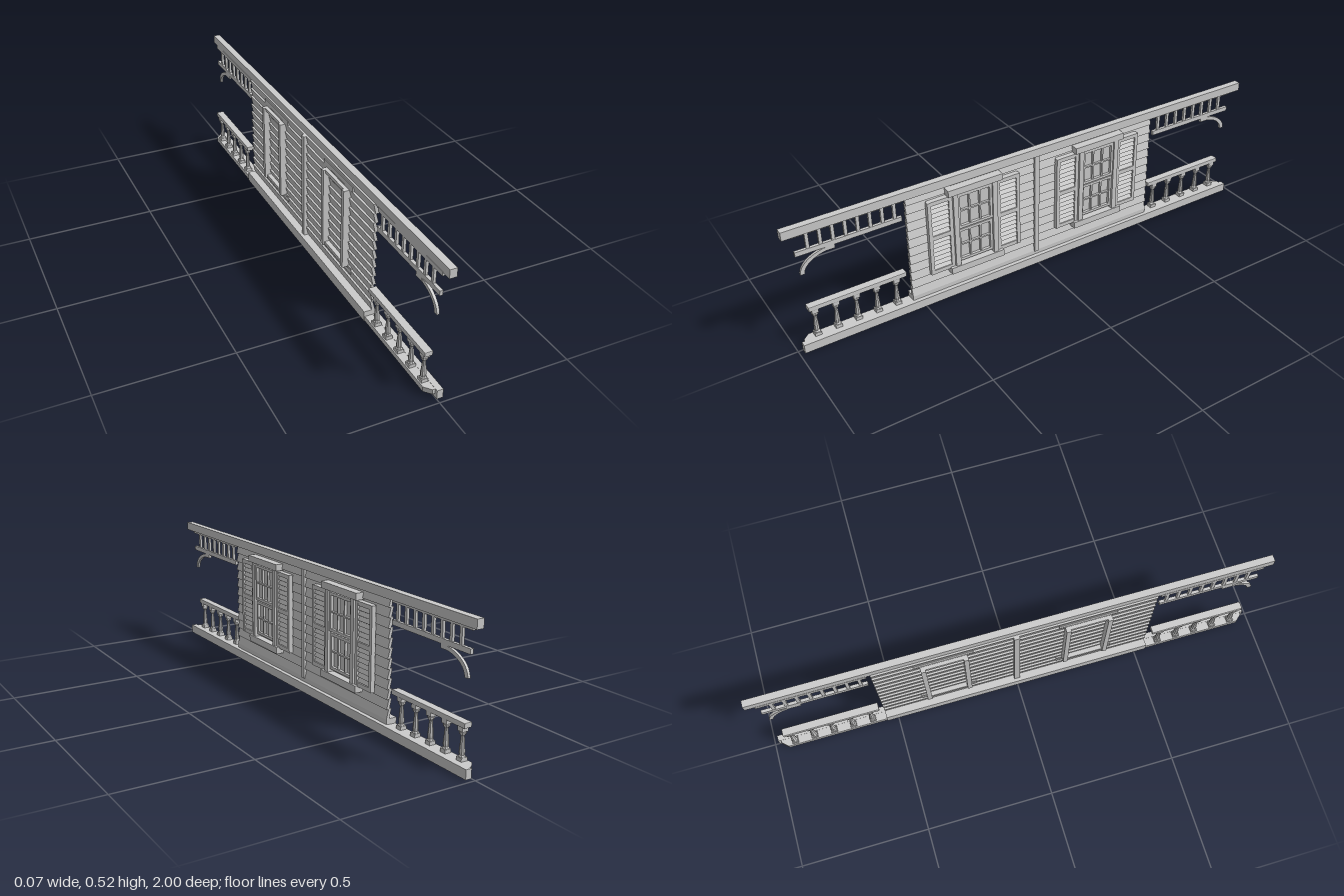
import * as THREE from 'three';
import { RoundedBoxGeometry } from 'three/addons/geometries/RoundedBoxGeometry.js';

const mat = new THREE.MeshStandardMaterial({ color: 0xcccccc, flatShading: true });

function add(parent, name, geometry) {
  const mesh = new THREE.Mesh(geometry, mat);
  mesh.name = name;
  parent.add(mesh);
  return mesh;
}

// Box given by its limits on each axis
function box(parent, name, x0, x1, y0, y1, z0, z1) {
  const m = add(parent, name, new THREE.BoxGeometry(x1 - x0, y1 - y0, z1 - z0));
  m.position.set((x0 + x1) / 2, (y0 + y1) / 2, (z0 + z1) / 2);
  return m;
}

function group(parent, name) {
  const g = new THREE.Group();
  g.name = name;
  parent.add(g);
  return g;
}

// Outline in (x, y) extruded along z, centred
function prism(points, length) {
  const shape = new THREE.Shape(points.map(p => new THREE.Vector2(...p)));
  return new THREE.ExtrudeGeometry(shape, { depth: length, bevelEnabled: false }).translate(0, 0, -length / 2);
}

// Louvred shutter centred on z = zc
function shutter(parent, zc) {
  const g = group(parent, 'shutter');
  const w = 0.05, y0 = 0.13, y1 = 0.443, s = 0.014;
  box(g, 'shutterBack', 0.002, 0.01, y0, y1, zc - w + 0.005, zc + w - 0.005);
  for (const k of [-1, 1]) {
    const zs = zc + k * (w - s / 2);
    box(g, 'shutterStile', 0.006, 0.023, y0, y1, zs - s / 2, zs + s / 2);
  }
  for (const [a, b] of [[y0, y0 + 0.016], [0.278, 0.296], [y1 - 0.016, y1]])
    box(g, 'shutterRail', 0.006, 0.022, a, b, zc - w + s, zc + w - s);
  for (const start of [0.146, 0.296]) {
    for (let i = 0; i < 7; i++) {
      const slat = add(g, 'louvre', new THREE.BoxGeometry(0.005, 0.019, 2 * (w - s)));
      slat.position.set(0.014, start + (i + 0.5) * 0.0188, zc);
      slat.rotation.z = 0.5;
    }
  }
}

// Sash of three by two panes
function sash(parent, zc, y0, y1, x) {
  const g = group(parent, 'sash');
  const h = 0.068, t = 0.011;
  box(g, 'pane', x - 0.006, x - 0.003, y0, y1, zc - h, zc + h);
  for (const k of [-1, 1])
    box(g, 'sashStile', x - 0.005, x + 0.008, y0, y1, zc + k * h - t / 2, zc + k * h + t / 2);
  for (const y of [y0, y1 - t]) box(g, 'sashRail', x - 0.005, x + 0.008, y, y + t, zc - h, zc + h);
  for (const k of [-1, 1])
    box(g, 'verticalBar', x - 0.004, x + 0.006, y0, y1, zc + k * 0.022 - 0.003, zc + k * 0.022 + 0.003);
  const m = (y0 + y1) / 2;
  box(g, 'crossBar', x - 0.004, x + 0.006, m - 0.003, m + 0.003, zc - h, zc + h);
}

function windowUnit(parent, zc) {
  const g = group(parent, 'window');
  box(g, 'windowHeader', -0.012, 0.034, 0.447, 0.473, zc - 0.113, zc + 0.113);
  box(g, 'windowSill', -0.012, 0.034, 0.108, 0.135, zc - 0.113, zc + 0.113);
  for (const k of [-1, 1]) {
    box(g, 'windowJamb', 0, 0.03, 0.135, 0.447, zc + k * 0.082 - 0.01, zc + k * 0.082 + 0.01);
    shutter(g, zc + k * 0.143);
    // Inner casing on the back of the wall
    box(g, 'backCasing', -0.034, -0.004, 0.13, 0.45, zc + k * 0.081 - 0.009, zc + k * 0.081 + 0.009);
  }
  box(g, 'backHeader', -0.026, -0.004, 0.437, 0.45, zc - 0.08, zc + 0.08);
  box(g, 'backSill', -0.026, -0.004, 0.13, 0.143, zc - 0.08, zc + 0.08);
  sash(g, zc, 0.146, 0.286, 0.012);
  sash(g, zc, 0.292, 0.44, 0.016);
}

// Turned post with square foot and cap
function baluster(parent, z) {
  const g = group(parent, 'baluster');
  const c = -0.015;
  box(g, 'foot', c - 0.0125, c + 0.0125, 0.03, 0.047, z - 0.0125, z + 0.0125);
  const profile = [[0.0125, 0.045], [0.012, 0.05], [0.0095, 0.054], [0.0105, 0.064], [0.006, 0.118],
    [0.009, 0.121], [0.012, 0.126], [0.012, 0.131], [0.008, 0.136]];
  const shaft = add(g, 'shaft', new THREE.LatheGeometry(profile.map(p => new THREE.Vector2(...p)), 8));
  shaft.position.set(c, 0, z);
  box(g, 'cap', c - 0.012, c + 0.012, 0.134, 0.151, z - 0.012, z + 0.012);
}

// Railing, spandrel and bracket of one open porch end
function porch(parent, s) {
  const g = group(parent, 'porch');
  const rail = add(g, 'handrail', new RoundedBoxGeometry(0.031, 0.019, 0.38, 1, 0.003));
  rail.position.set(-0.015, 0.159, s * 0.75);
  for (let i = 0; i < 5; i++) baluster(g, s * (0.6 + i * 0.079));

  const span = (name, x, y0, y1, z, half) => box(g, name, -x, x, y0, y1, s * z - half, s * z + half);
  span('spandrelTopRail', 0.006, 0.474, 0.49, 0.762, 0.202);
  span('spandrelBottomRail', 0.006, 0.397, 0.415, 0.76, 0.198);
  for (let i = 0; i < 8; i++) span('spindle', 0.005, 0.41, 0.48, 0.588 + i * 0.046, 0.006);

  // Curved bracket: a quarter ring dropping towards the outer end
  const arc = new THREE.Shape();
  arc.absellipse(0, 0, 0.13, 0.08, 0, Math.PI / 2, false);
  arc.absellipse(0, 0, 0.114, 0.066, Math.PI / 2, 0, true);
  const geo = new THREE.ExtrudeGeometry(arc, { depth: 0.01, bevelEnabled: false, curveSegments: 8 });
  geo.translate(0, 0, -0.005).rotateY(-s * Math.PI / 2);
  add(g, 'bracket', geo).position.set(0, 0.318, s * 0.82);
  span('bracketBlock', 0.006, 0.382, 0.4, 0.835, 0.018);
}

export function createModel() {
  const model = new THREE.Group();
  model.name = 'porchWall';

  // Long beams and floor
  box(model, 'topBeam', -0.005, 0.022, 0.487, 0.52, -1, 1);
  box(model, 'baseBeam', 0, 0.023, 0, 0.035, -0.982, 0.982);
  const floor = prism([[0.002, -0.97], [0.002, 0.97], [-0.01, 0.97], [-0.032, 0.945], [-0.032, -0.945], [-0.01, -0.97]], 0.019);
  add(model, 'porchFloor', floor.rotateX(Math.PI / 2)).position.y = 0.0245;
  box(model, 'wallSill', -0.035, 0.007, 0.015, 0.055, -0.545, 0.545);

  // Overlapping weatherboards
  const siding = group(model, 'siding');
  const rows = 12, pitch = 0.436 / rows;
  for (let i = 0; i < rows; i++) {
    const board = prism([[-0.004, 0], [0.008, 0], [-0.002, pitch + 0.002], [-0.013, pitch + 0.002]], 1.09);
    add(siding, 'weatherboard', board).position.y = 0.053 + i * pitch;
  }

  // Centre posts front and back
  box(model, 'backPost', -0.022, 0, 0.05, 0.49, -0.011, 0.011);
  box(model, 'frontBatten', -0.002, 0.012, 0.05, 0.49, -0.01, 0.01);

  for (const s of [-1, 1]) {
    windowUnit(model, s * 0.277);
    porch(model, s);
  }
  return model;
}
